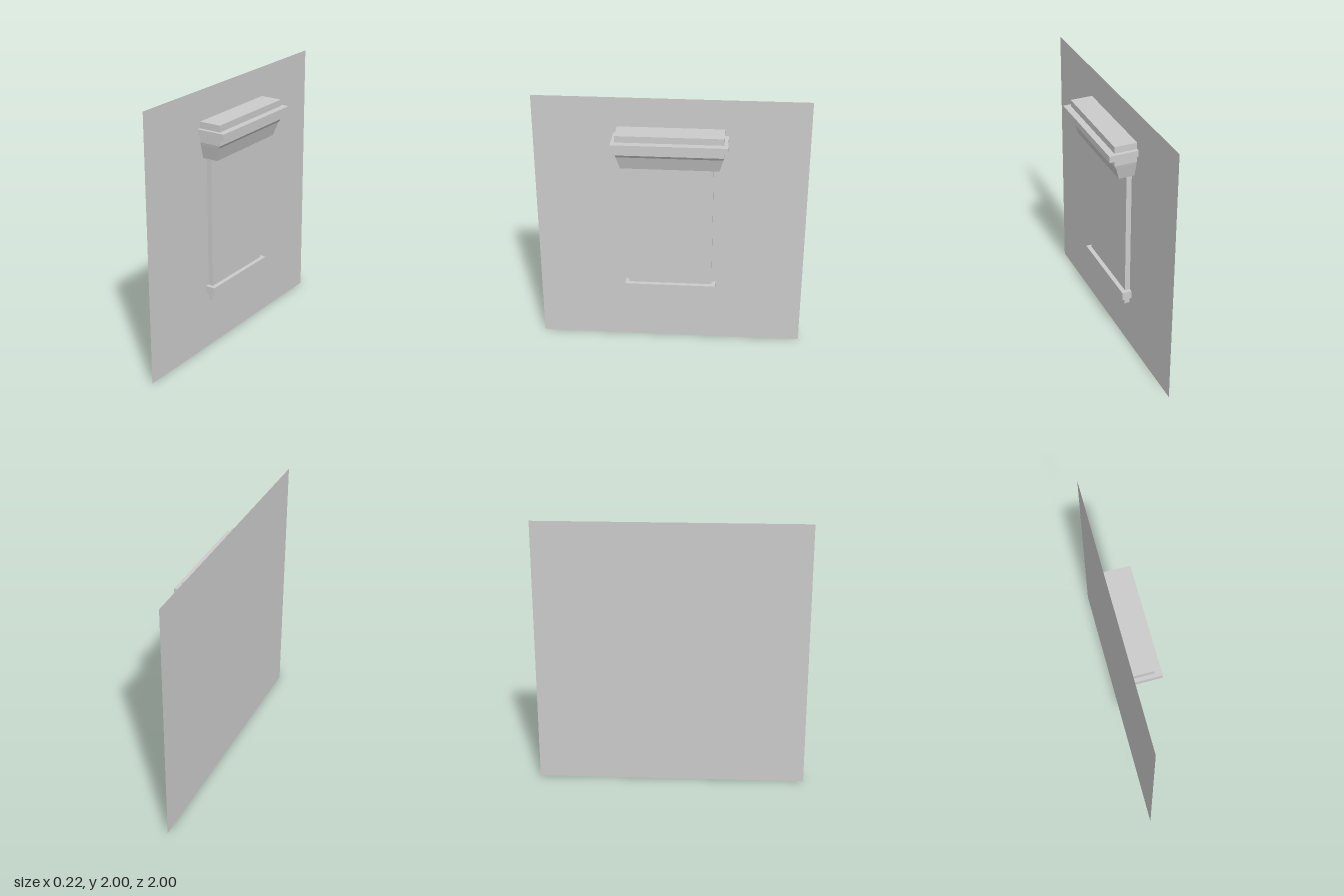
import * as THREE from 'three';

const WALL_X = -0.11;
const material = new THREE.MeshStandardMaterial({ color: 0xcccccc, flatShading: true });
const wallMaterial = new THREE.MeshStandardMaterial({ color: 0xcccccc, side: THREE.DoubleSide });

// Block standing out from the wall; front reach and half width may differ at bottom and top
function wallBlock(name, y0, y1, front0, half0, front1 = front0, half1 = half0) {
  const geometry = new THREE.BoxGeometry(1, 1, 1);
  const p = geometry.attributes.position;
  for (let i = 0; i < p.count; i++) {
    const top = p.getY(i) > 0;
    const x = p.getX(i) > 0 ? (top ? front1 : front0) : WALL_X;
    p.setXYZ(i, x, top ? y1 : y0, Math.sign(p.getZ(i)) * (top ? half1 : half0));
  }
  // Drop the hidden face that lies against the wall
  const index = Array.from(geometry.index.array);
  index.splice(6, 6);
  geometry.setIndex(index);
  geometry.computeVertexNormals();
  const mesh = new THREE.Mesh(geometry, material);
  mesh.name = name;
  return mesh;
}

export function createModel() {
  const model = new THREE.Group();
  model.name = 'wallPilaster';

  // Flat wall behind everything
  const wall = new THREE.Mesh(new THREE.PlaneGeometry(2, 2), wallMaterial);
  wall.name = 'wall';
  wall.rotation.y = Math.PI / 2;
  wall.position.set(WALL_X, 1, 0);
  model.add(wall);

  // Shaft and base moulding
  model.add(
    wallBlock('panel', 0.38, 1.5, -0.07, 0.313),
    wallBlock('baseMoulding', 0.44, 0.503, -0.037, 0.343),
  );

  // Flared capital with stepped cornice
  const capital = new THREE.Group();
  capital.name = 'capital';
  capital.add(
    wallBlock('capitalFlare', 1.503, 1.605, 0.01, 0.357, 0.042, 0.383),
    wallBlock('capitalLip', 1.605, 1.627, 0.042, 0.383, 0.058, 0.388),
    wallBlock('capitalBlock', 1.627, 1.777, 0.058, 0.388),
    wallBlock('corniceBand', 1.68, 1.728, 0.107, 0.415),
  );
  model.add(capital);
  return model;
}
